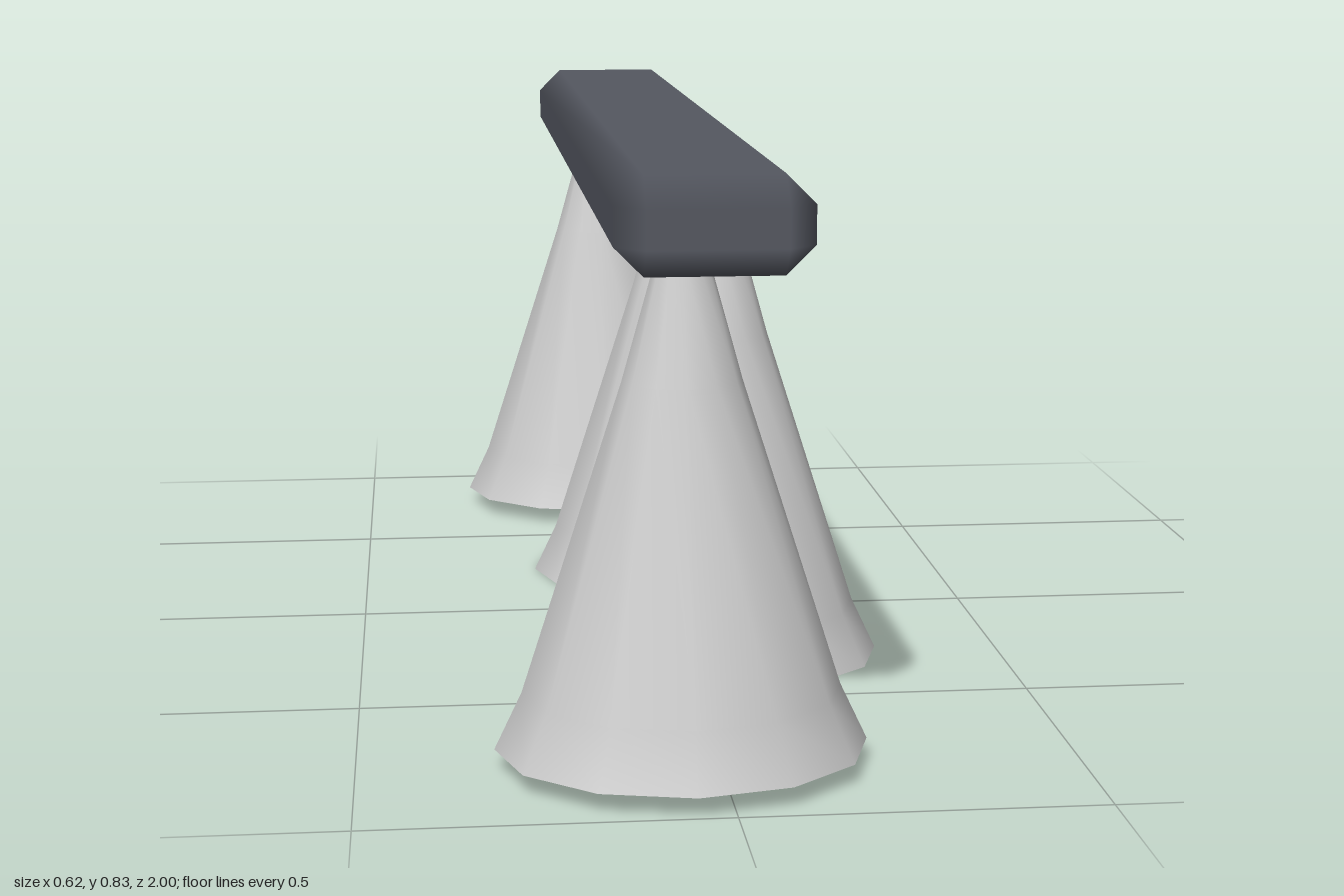
import * as THREE from 'three';
import { ConvexGeometry } from 'three/addons/geometries/ConvexGeometry.js';

// Box with every edge chamfered; each vertex keeps the normal of its main face
function chamferedBox(w, h, d, c) {
  const half = [w / 2, h / 2, d / 2];
  const points = [];
  for (let axis = 0; axis < 3; axis++)
    for (const sx of [-1, 1]) for (const sy of [-1, 1]) for (const sz of [-1, 1]) {
      const p = [sx, sy, sz].map((s, i) => s * (half[i] - (i === axis ? 0 : c)));
      points.push(new THREE.Vector3(...p));
    }
  const geometry = new ConvexGeometry(points);
  const pos = geometry.attributes.position, normal = geometry.attributes.normal;
  for (let i = 0; i < pos.count; i++) {
    const p = [pos.getX(i), pos.getY(i), pos.getZ(i)];
    const n = p.map((v, k) => (Math.abs(v) > half[k] - c / 2 ? Math.sign(v) : 0));
    normal.setXYZ(i, ...n);
  }
  return geometry;
}

export function createModel() {
  const model = new THREE.Group();
  const grey = new THREE.MeshStandardMaterial({ color: 0xcccccc });
  const dark = new THREE.MeshStandardMaterial({ color: 0x545760 });

  // Long top beam
  const beam = new THREE.Mesh(chamferedBox(0.26, 0.13, 1.97, 0.039), dark);
  beam.name = 'beam';
  beam.position.set(-0.027, 0.768, 0);
  model.add(beam);

  // Twelve-sided oval cone with a flared foot, its tip sunk into the beam
  const profile = [[0.258, 0], [0.22, 0.08], [0.082, 0.51], [0.036, 0.675], [0.022, 0.72], [0, 0.73]]
    .map(([r, y]) => new THREE.Vector2(r, y));
  const coneGeometry = new THREE.LatheGeometry(profile, 12).scale(1, 1, 0.845);
  const baseGeometry = new THREE.CircleGeometry(0.258, 12).rotateX(Math.PI / 2).scale(1, 1, 0.845);

  // Staggered row: outer legs slightly raised and shifted right
  for (const [x, y, z] of [[-0.052, 0.028, 0.782], [0.052, 0, 0.261], [0.052, 0, -0.261], [-0.052, 0.028, -0.782]]) {
    const leg = new THREE.Group();
    leg.name = 'coneLeg';
    const cone = new THREE.Mesh(coneGeometry, grey);
    cone.name = 'cone';
    const base = new THREE.Mesh(baseGeometry, grey);
    base.name = 'coneBase';
    leg.add(cone, base);
    leg.position.set(x, y, z);
    model.add(leg);
  }
  return model;
}
